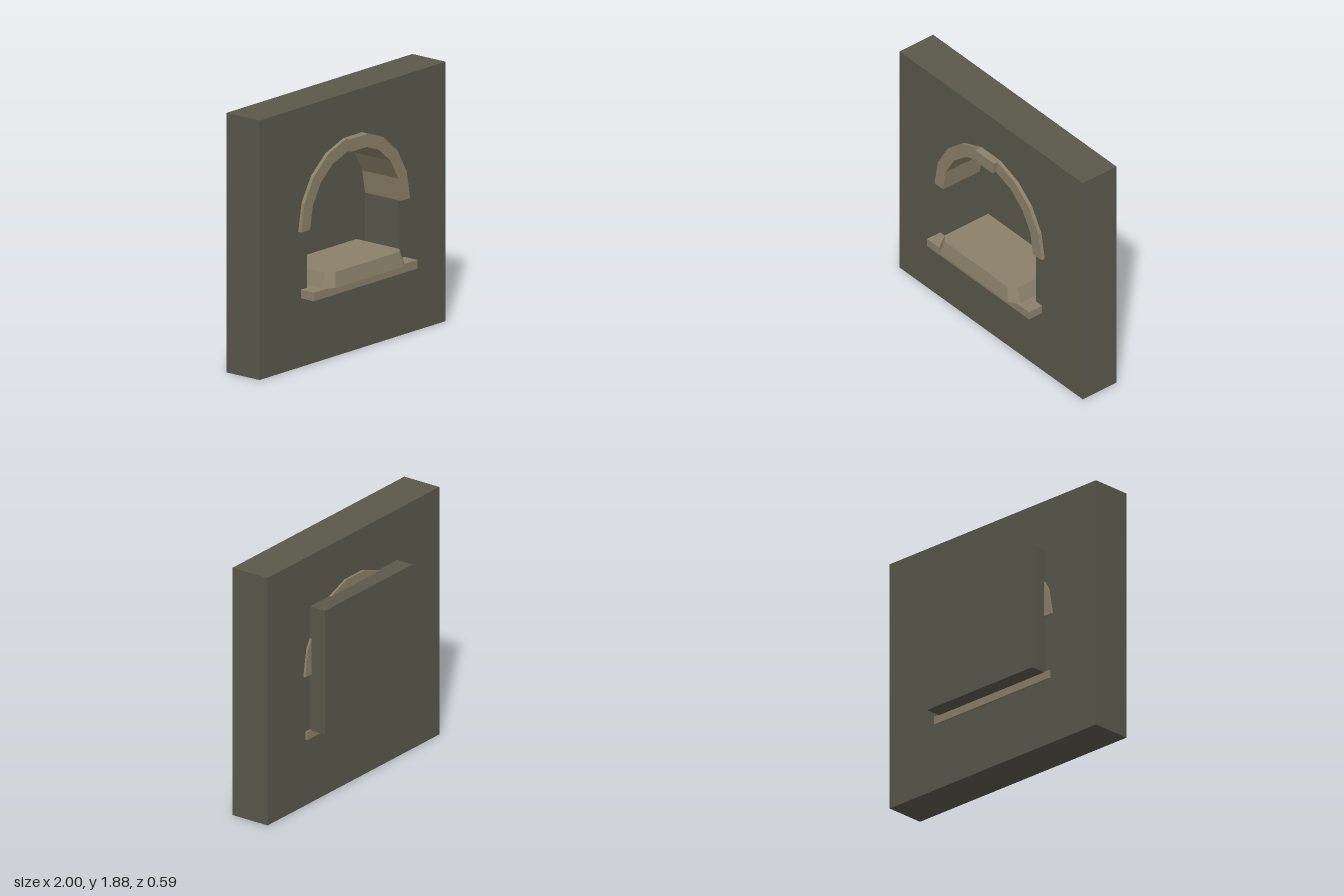
import * as THREE from 'three';
import { ConvexGeometry } from 'three/addons/geometries/ConvexGeometry.js';

const SPRING = 0.985, R_IN = 0.49, R_OUT = 0.585;

// Points on a faceted arch between two step numbers, 20 degrees per step
function arc(radius, from, to) {
  const points = [], dir = Math.sign(to - from);
  for (let i = from; i !== to + dir; i += dir) {
    const a = (i * Math.PI) / 9;
    points.push(new THREE.Vector2(radius * Math.cos(a), SPRING + radius * Math.sin(a)));
  }
  return points;
}

function extrude(shape, back, front) {
  const g = new THREE.ExtrudeGeometry(shape, { depth: front - back, bevelEnabled: false });
  return g.translate(0, 0, back);
}

function box(x, y0, y1, z0, z1) {
  return new THREE.BoxGeometry(2 * x, y1 - y0, z1 - z0).translate(0, (y0 + y1) / 2, (z0 + z1) / 2);
}

export function createModel() {
  const group = new THREE.Group();
  const stone = new THREE.MeshStandardMaterial({ name: 'dark stone', color: 0x59584b });
  const trim = new THREE.MeshStandardMaterial({ name: 'pale trim', color: 0x8b806a });
  const add = (name, geometry, material) => {
    const mesh = new THREE.Mesh(geometry, material);
    mesh.name = name;
    group.add(mesh);
  };

  // Wall slab with an arched opening; its arch edge is buried inside the trim
  const wall = new THREE.Shape([[-1, 0], [1, 0], [1, 1.88], [-1, 1.88]].map(p => new THREE.Vector2(...p)));
  wall.holes.push(new THREE.Path([
    new THREE.Vector2(-R_IN, 0.53), new THREE.Vector2(R_IN, 0.53), new THREE.Vector2(R_IN, SPRING),
    ...arc(0.53, 0, 9), new THREE.Vector2(-R_IN, SPRING),
  ]));
  add('wall', extrude(wall, -0.165, 0.14), stone);

  // Plate closing the niche from behind
  add('backPlate', box(0.51, 0.555, 1.495, -0.297, -0.165), stone);

  // Arch trim in two halves with a raised keystone between them
  const ring = (from, to) => new THREE.Shape([...arc(R_OUT, from, to), ...arc(R_IN, to, from)]);
  add('leftArch', extrude(ring(0, 4), -0.182, 0.168), trim);
  add('rightArch', extrude(ring(5, 9), -0.182, 0.168), trim);
  add('keystone', extrude(ring(4, 5), -0.182, 0.197), trim);

  // Sill running through the wall
  add('sill', box(0.557, 0.498, 0.56, -0.178, 0.26), trim);

  // Tapered block on the sill with chamfered front corners
  const points = [];
  const loop = (y, x, xFront, zSide, zFront) => {
    for (const s of [-1, 1]) {
      points.push(new THREE.Vector3(s * x, y, -0.17), new THREE.Vector3(s * x, y, zSide),
        new THREE.Vector3(s * xFront, y, zFront));
    }
  };
  loop(0.56, 0.438, 0.37, 0.24, 0.297);
  loop(0.668, 0.398, 0.345, 0.228, 0.277);
  add('sillBlock', new ConvexGeometry(points), trim);

  return group;
}
